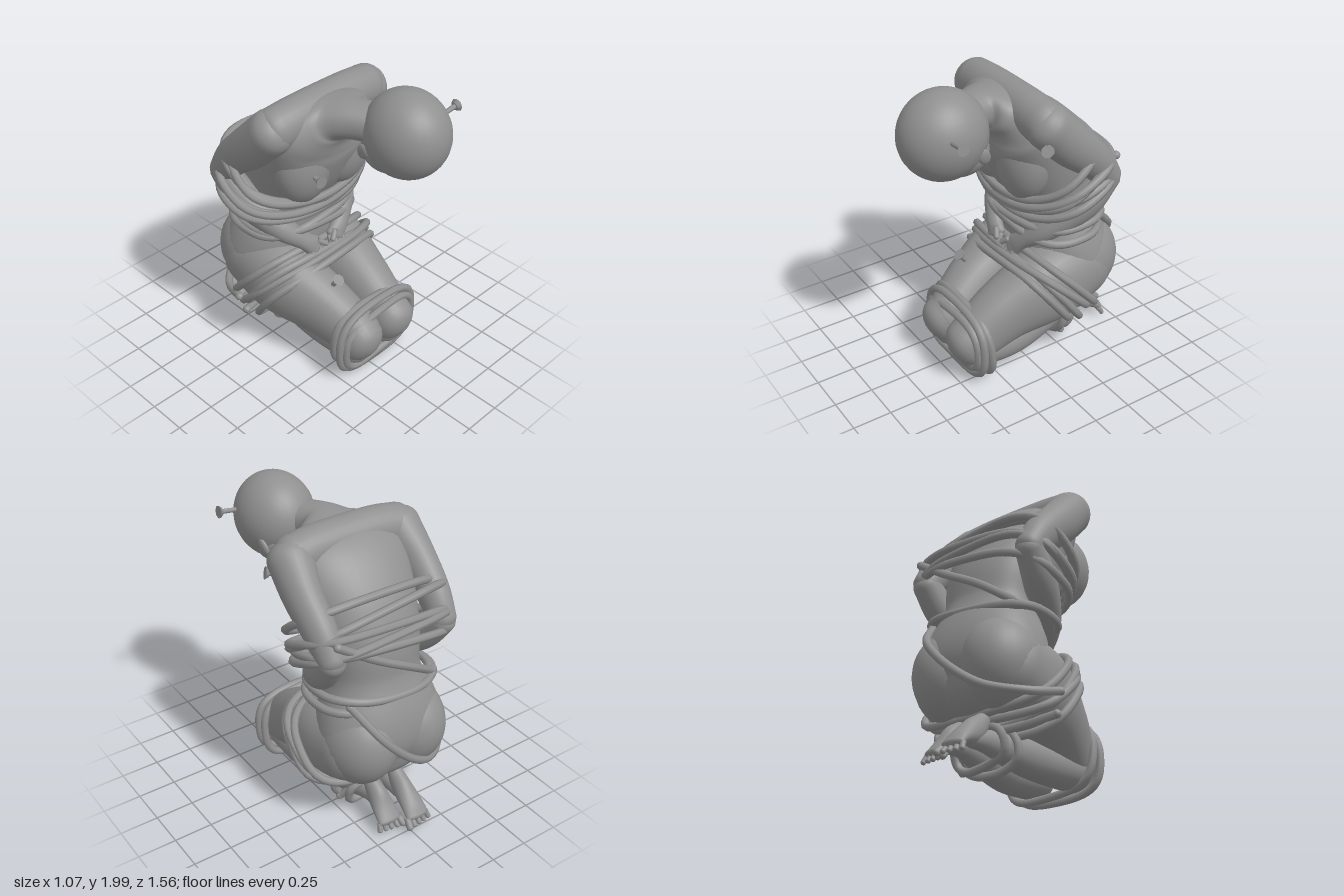
import * as THREE from 'three';

const V = (x, y, z) => new THREE.Vector3(x, y, z);
const bend = (v, power) => Math.sign(v) * Math.abs(v) ** power;
const material = new THREE.MeshStandardMaterial({ color: 0x909090 });

export function createModel() {
  const model = new THREE.Group();
  const add = (name, geometry, parent = model) => {
    const mesh = new THREE.Mesh(geometry, material);
    mesh.name = name;
    parent.add(mesh);
    return mesh;
  };

  // Smooth body form through stations [x, y, z, half width, half depth], with rounded ends
  function loft(name, stations, parent, { sides = 28, steps = 6, power = 1, axis = V(1, 0, 0) } = {}) {
    const path = new THREE.CatmullRomCurve3(stations.map(s => V(s[0], s[1], s[2])), false, 'catmullrom');
    const radii = new THREE.CatmullRomCurve3(stations.map(s => V(s[3], s[4], 0)), false, 'catmullrom');
    const n = (stations.length - 1) * steps, rings = [];
    const ring = (t, cap) => {
      const dir = path.getTangent(t), r = radii.getPoint(t);
      const shift = Math.sin(cap) * Math.min(r.x, r.y) * 0.8, k = Math.max(Math.cos(cap), 0.001);
      rings.push({ c: path.getPoint(t).addScaledVector(dir, shift), dir, a: r.x * k, b: r.y * k });
    };
    for (let i = 0; i < 5; i++) ring(0, -Math.PI / 2 * (1 - i / 5));
    for (let i = 0; i <= n; i++) ring(i / n, 0);
    for (let i = 1; i <= 5; i++) ring(1, Math.PI / 2 * i / 5);
    const pos = [], index = [];
    rings.forEach(({ c, dir, a, b }, i) => {
      const side = axis.clone().addScaledVector(dir, -dir.dot(axis)).normalize();
      const up = dir.clone().cross(side);
      for (let j = 0; j < sides; j++) {
        const q = j / sides * Math.PI * 2;
        const p = c.clone().addScaledVector(side, a * bend(Math.cos(q), power))
          .addScaledVector(up, b * bend(Math.sin(q), power));
        pos.push(p.x, p.y, p.z);
        if (i === rings.length - 1) continue;
        const k = (j + 1) % sides, r0 = i * sides, r1 = r0 + sides;
        index.push(r0 + j, r0 + k, r1 + j, r0 + k, r1 + k, r1 + j);
      }
    });
    const g = new THREE.BufferGeometry();
    g.setAttribute('position', new THREE.Float32BufferAttribute(pos, 3));
    g.setIndex(index);
    g.computeVertexNormals();
    return add(name, g, parent);
  }
  const digit = { sides: 10, steps: 4 };

  const ball = (name, p, r, parent) => {
    const mesh = add(name, new THREE.SphereGeometry(1, 32, 24), parent);
    mesh.position.set(...p);
    mesh.scale.set(...r);
    return mesh;
  };

  // Torso, leaning forward from the hips and running into the neck
  loft('torso', [
    [0, 0.5, -0.41, 0.35, 0.24], [0, 0.64, -0.4, 0.41, 0.29], [0, 0.8, -0.36, 0.38, 0.29],
    [0, 1.0, -0.32, 0.3, 0.25], [0, 1.2, -0.28, 0.32, 0.27], [0, 1.4, -0.18, 0.36, 0.28],
    [0, 1.58, -0.07, 0.39, 0.25], [0, 1.68, 0.02, 0.37, 0.2], [0.01, 1.74, 0.12, 0.24, 0.14],
    [0.02, 1.76, 0.22, 0.14, 0.115], [0.09, 1.75, 0.38, 0.12, 0.11]], model, { sides: 48, power: 0.9 });
  loft('shoulders', [[-0.37, 1.73, -0.04, 0.13, 0.14], [-0.18, 1.75, -0.03, 0.13, 0.14],
    [0.18, 1.75, -0.03, 0.13, 0.14], [0.37, 1.73, -0.04, 0.13, 0.14]], model, { axis: V(0, 0, 1) });
  for (const s of [1, -1]) {
    ball('chest', [s * 0.16, 1.43, -0.03], [0.2, 0.27, 0.16]);
    ball('buttock', [s * 0.18, 0.61, -0.43], [0.24, 0.29, 0.28]);
  }

  // Bowed bald head
  const head = new THREE.Group();
  head.name = 'head';
  model.add(head);
  ball('skull', [0.145, 1.73, 0.51], [0.245, 0.27, 0.27], head);
  ball('jaw', [0.14, 1.61, 0.42], [0.19, 0.155, 0.19], head);
  for (const s of [1, -1]) {
    const ear = ball('ear', [0.14 + s * 0.185, 1.62, 0.35], [0.02, 0.06, 0.04], head);
    ear.rotation.set(0.5, 0, s * -0.2);
  }

  for (const s of [1, -1]) {
    // Bent arm with the hand resting in the lap
    const arm = new THREE.Group();
    arm.name = s > 0 ? 'leftArm' : 'rightArm';
    model.add(arm);
    loft('upperArm', [[s * 0.38, 1.73, -0.04, 0.14, 0.14], [s * 0.405, 1.57, -0.2, 0.115, 0.135],
      [s * 0.405, 1.42, -0.37, 0.1, 0.115], [s * 0.4, 1.28, -0.48, 0.085, 0.09]], arm);
    loft('forearm', [[s * 0.4, 1.28, -0.48, 0.085, 0.09], [s * 0.37, 1.12, -0.33, 0.1, 0.11],
      [s * 0.27, 0.96, -0.13, 0.085, 0.08], [s * 0.16, 0.85, -0.03, 0.06, 0.05],
      [s * 0.09, 0.78, 0.0, 0.07, 0.04]], arm);
    for (let i = 0; i < 4; i++) {
      const x = s * (0.03 + i * 0.032);
      loft('finger', [[x + s * 0.01, 0.79, 0.0, 0.018, 0.018], [x, 0.74, 0.035, 0.018, 0.018],
        [x - s * 0.02, 0.7, 0.02, 0.014, 0.014]], arm, digit);
    }
    loft('thumb', [[s * 0.08, 0.83, 0.01, 0.02, 0.02], [s * 0.03, 0.79, 0.04, 0.018, 0.018]], arm, digit);

    // Folded leg, the knees swung a little to one side
    const leg = new THREE.Group();
    leg.name = s > 0 ? 'leftLeg' : 'rightLeg';
    model.add(leg);
    const k = 0.055 + s * 0.145, f = s > 0 ? 0.1 : -0.07, back = s > 0 ? 0 : -0.06;
    loft('thigh', [[s * 0.2, 0.58, -0.43, 0.23, 0.24], [s * 0.22 + 0.01, 0.52, -0.17, 0.22, 0.27],
      [s * 0.18 + 0.03, 0.42, 0.12, 0.18, 0.22], [k, 0.3, 0.34, 0.15, 0.18],
      [k, 0.26, 0.42, 0.14, 0.16]], leg, { power: 0.92 });
    loft('shin', [[k, 0.19, 0.38, 0.125, 0.12], [k, 0.17, 0.1, 0.115, 0.12],
      [(k + f) / 2, 0.17, -0.15, 0.1, 0.115], [f, 0.17, -0.44, 0.06, 0.07],
      [f, 0.15, -0.56, 0.05, 0.05]], leg);
    loft('foot', [[f, 0.28, -0.45 + back / 2, 0.045, 0.05], [f, 0.2, -0.53 + back / 2, 0.06, 0.075],
      [f, 0.13, -0.61 + back, 0.075, 0.048], [f, 0.08, -0.67 + back, 0.08, 0.03]], leg);
    for (let i = 0; i < 5; i++) {
      const x = f + s * (i - 2) * 0.035, size = i ? 0.016 : 0.022;
      loft('toe', [[x, 0.08, -0.66 + back, size, size],
        [f + (x - f) * 1.15, 0.035, -0.705 + back + i * 0.006, size, size]], leg, digit);
    }
  }

  // Ropes: closed hoops given by front [z, y] and back [z, y], half width, centre x and roll;
  // the powers square off the front and back halves
  const ropes = new THREE.Group();
  ropes.name = 'ropes';
  model.add(ropes);
  const rope = (name, points, closed, r = 0.026) => {
    const curve = new THREE.CatmullRomCurve3(points, closed);
    add(name, new THREE.TubeGeometry(curve, closed ? 56 : 30, r, 7, closed), ropes);
    if (closed) return;
    for (const p of [points[0], points[points.length - 1]]) ball('ropeEnd', p.toArray(), [r, r, r], ropes);
  };
  const hoop = (name, front, back, rx, cx = 0, roll = 0, powers = [0.8, 0.8]) => {
    const points = [];
    for (let i = 0; i < 24; i++) {
      const q = i / 24 * Math.PI * 2, power = powers[i < 12 ? 0 : 1];
      const c = bend(Math.cos(q), power), w = (1 - bend(Math.sin(q), power)) / 2;
      const wobble = 0.008 * Math.sin(q * 3 + rx * 40);
      points.push(V(cx + rx * c, THREE.MathUtils.lerp(front[1], back[1], w) + roll * c + wobble,
        THREE.MathUtils.lerp(front[0], back[0], w)));
    }
    rope(name, points, true);
  };
  const chest = [0.95, 0.65], thigh = [0.8, 0.7], knee = [0.8, 0.75];
  hoop('chestRope', [0.04, 1.17], [-0.42, 1.56], 0.5, 0, 0.02, chest);
  hoop('chestRope', [0.04, 1.11], [-0.56, 1.42], 0.51, 0, 0.04, chest);
  hoop('chestRope', [0.01, 1.06], [-0.58, 1.36], 0.5, 0, -0.02, chest);
  hoop('chestRope', [0.03, 1.14], [-0.5, 1.5], 0.5, 0, -0.05, chest);
  hoop('chestRope', [0.02, 1.08], [-0.58, 1.29], 0.49, 0, 0.06, chest);
  hoop('waistRope', [-0.02, 0.95], [-0.59, 0.95], 0.4, 0, 0.03);
  hoop('waistRope', [-0.01, 0.92], [-0.57, 0.9], 0.39, 0.01, -0.03);
  hoop('thighRope', [0.09, 0.7], [-0.28, 0.23], 0.45, 0.01, 0.02, thigh);
  hoop('thighRope', [0.03, 0.75], [-0.36, 0.26], 0.47, 0.01, -0.02, thigh);
  hoop('thighRope', [-0.04, 0.78], [-0.48, 0.32], 0.48, 0.01, 0, thigh);
  hoop('thighRope', [0.05, 0.73], [-0.42, 0.3], 0.48, 0.01, 0.03, thigh);
  hoop('shinRope', [-0.3, 0.3], [-0.28, 0.04], 0.22, 0.04, 0.02);
  hoop('shinRope', [-0.42, 0.26], [-0.35, 0.06], 0.18, 0.03, -0.02);
  hoop('kneeRope', [0.41, 0.5], [0.4, 0.03], 0.33, 0.06, 0.01, knee);
  hoop('kneeRope', [0.37, 0.5], [0.32, 0.04], 0.32, 0.06, -0.02, knee);
  hoop('kneeRope', [0.44, 0.44], [0.42, 0.07], 0.3, 0.06, 0.02, knee);
  rope('backRope', [V(-0.32, 0.95, -0.5), V(-0.1, 1.1, -0.57), V(0.15, 1.24, -0.57), V(0.4, 1.4, -0.54)], false);
  rope('hipRope', [V(0.3, 0.94, -0.52), V(0.18, 0.75, -0.69), V(0, 0.56, -0.71), V(-0.2, 0.42, -0.65),
    V(-0.4, 0.38, -0.5), V(-0.48, 0.42, -0.3)], false);
  rope('hipRope', [V(-0.44, 0.3, -0.28), V(-0.2, 0.25, -0.36), V(0.1, 0.22, -0.42), V(0.22, 0.08, -0.3)], false);

  // Nails, each running from its base along a direction
  const nail = (base, direction, length) => {
    const group = new THREE.Group();
    group.name = 'nail';
    const shaft = add('nailShaft', new THREE.CylinderGeometry(0.016, 0.014, length + 0.06, 8), group);
    shaft.position.y = length / 2 - 0.03;
    const cap = add('nailHead', new THREE.CylinderGeometry(0.04, 0.024, 0.022, 8), group);
    cap.position.y = length;
    group.position.copy(base);
    group.quaternion.setFromUnitVectors(V(0, 1, 0), direction.normalize());
    model.add(group);
  };
  nail(V(0.37, 1.79, 0.58), V(1, 0.12, 0.02), 0.11);
  nail(V(0.42, 1.62, 0.01), V(1, 0.25, 0.4), 0.08);
  nail(V(-0.2, 1.41, 0.08), V(-0.15, 0, 1), 0.1);
  nail(V(-0.14, 0.59, 0.19), V(0.05, 1, 0.75), 0.1);

  return model;
}
